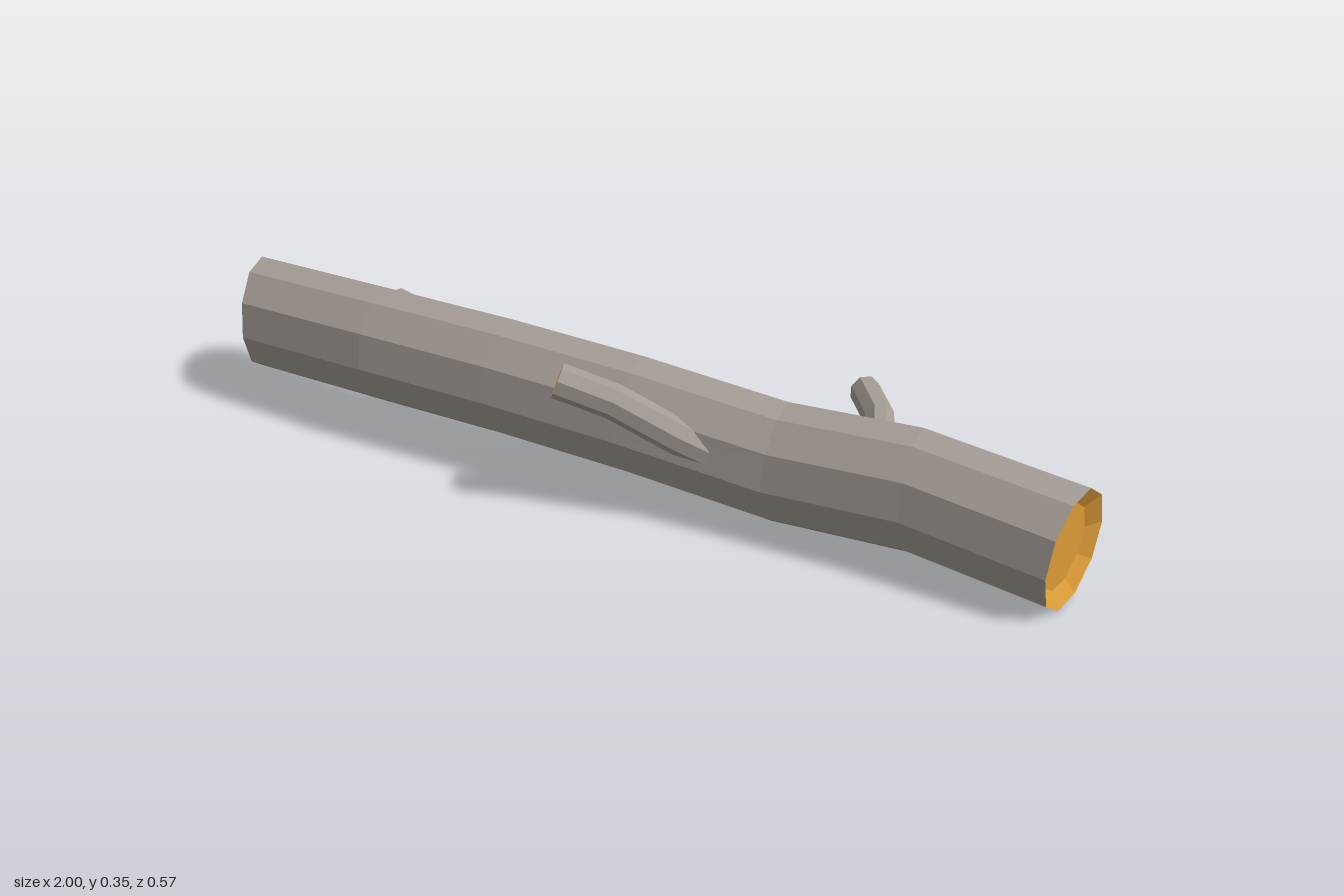
import * as THREE from 'three';

const bark = new THREE.MeshStandardMaterial({ color: 0xa39b94, flatShading: true });
const wood = new THREE.MeshStandardMaterial({ color: 0xdf9d38, flatShading: true });

// Skin a list of equal-length closed rings of Vector3
function loft(rings, material, name) {
  const pos = [];
  const push = (...pts) => pts.forEach((p) => pos.push(p.x, p.y, p.z));
  for (let i = 0; i < rings.length - 1; i++) {
    const a = rings[i], b = rings[i + 1], n = a.length;
    for (let j = 0; j < n; j++) {
      const k = (j + 1) % n;
      push(a[j], b[j], b[k], a[j], b[k], a[k]);
    }
  }
  const geo = new THREE.BufferGeometry();
  geo.setAttribute('position', new THREE.Float32BufferAttribute(pos, 3));
  geo.computeVertexNormals();
  const mesh = new THREE.Mesh(geo, material);
  mesh.name = name;
  return mesh;
}

// Dished cut face: rim, sunken inner ring, flat centre
function cutFace(rim, inward, atStart, name) {
  const c = rim.reduce((s, p) => s.add(p), new THREE.Vector3()).divideScalar(rim.length);
  const inner = rim.map((p) => p.clone().lerp(c, 0.28).add(inward));
  const mid = rim.map((p) => p.clone().lerp(c, 0.999).add(inward));
  const rings = [rim, inner, mid];
  return loft(atStart ? rings.reverse() : rings, wood, name);
}

// Trunk sections: centre x, y, z, then x slant per unit z and per unit y
const TRUNK = [
  [-0.96, 0.2, 0.177, 0.38, 0],
  [-0.585, 0.212, 0.162, 0.12, 0],
  [-0.27, 0.206, 0.122, 0.15, 0.03],
  [0.04, 0.188, 0.077, 0.15, 0.07],
  [0.365, 0.151, 0.02, 0.15, 0.04],
  [0.655, 0.165, -0.015, 0.15, 0],
  [0.985, 0.135, -0.033, -0.1, 0.05],
];

function trunkRing([x, y, z, slantZ, slantY]) {
  return Array.from({ length: 10 }, (_, j) => {
    const t = THREE.MathUtils.degToRad(30 + 36 * j);
    const dz = 0.108 * Math.cos(t), dy = 0.134 * Math.sin(t);
    return new THREE.Vector3(x + slantZ * dz + slantY * dy, y + dy, z + dz);
  });
}

// Branch stubs: points run from inside the trunk to the cut tip
const BRANCHES = [
  { name: 'frontBranch', r: 0.035, pts: [[0.3, 0.155, 0.085], [0.19, 0.215, 0.145], [0.07, 0.282, 0.198], [-0.03, 0.323, 0.252]] },
  { name: 'backLeftBranch', r: 0.033, pts: [[0.56, 0.18, 0], [0.535, 0.188, -0.09], [0.482, 0.2, -0.185], [0.405, 0.208, -0.264]] },
  { name: 'backRightBranch', r: 0.033, pts: [[-0.38, 0.195, 0.09], [-0.5, 0.2, 0.037], [-0.61, 0.206, -0.008], [-0.722, 0.208, -0.03]] },
];

function branch({ name, r, pts }) {
  const P = pts.map((p) => new THREE.Vector3(...p));
  const up = new THREE.Vector3(0, 1, 0);
  let dir;
  const rings = P.map((p, i) => {
    dir = P[Math.min(i + 1, P.length - 1)].clone().sub(P[Math.max(i - 1, 0)]).normalize();
    const u = up.clone().cross(dir).normalize();
    const v = u.clone().cross(dir);
    return Array.from({ length: 8 }, (_, j) => {
      const t = ((j + 0.5) / 8) * Math.PI * 2;
      return p.clone().addScaledVector(u, r * Math.cos(t)).addScaledVector(v, r * 1.1 * Math.sin(t));
    });
  });
  const g = new THREE.Group();
  g.name = name;
  g.add(loft(rings, bark, name + 'Bark'));
  g.add(cutFace(rings[rings.length - 1], dir.clone().multiplyScalar(-0.006), false, name + 'Cut'));
  return g;
}

export function createModel() {
  const model = new THREE.Group();
  model.name = 'log';
  const rings = TRUNK.map(trunkRing);
  model.add(loft(rings, bark, 'trunkBark'));
  model.add(cutFace(rings[0], new THREE.Vector3(0.02, 0, -0.005), true, 'rightCut'));
  model.add(cutFace(rings[rings.length - 1], new THREE.Vector3(-0.02, 0, 0), false, 'leftCut'));
  BRANCHES.forEach((b) => model.add(branch(b)));
  return model;
}
